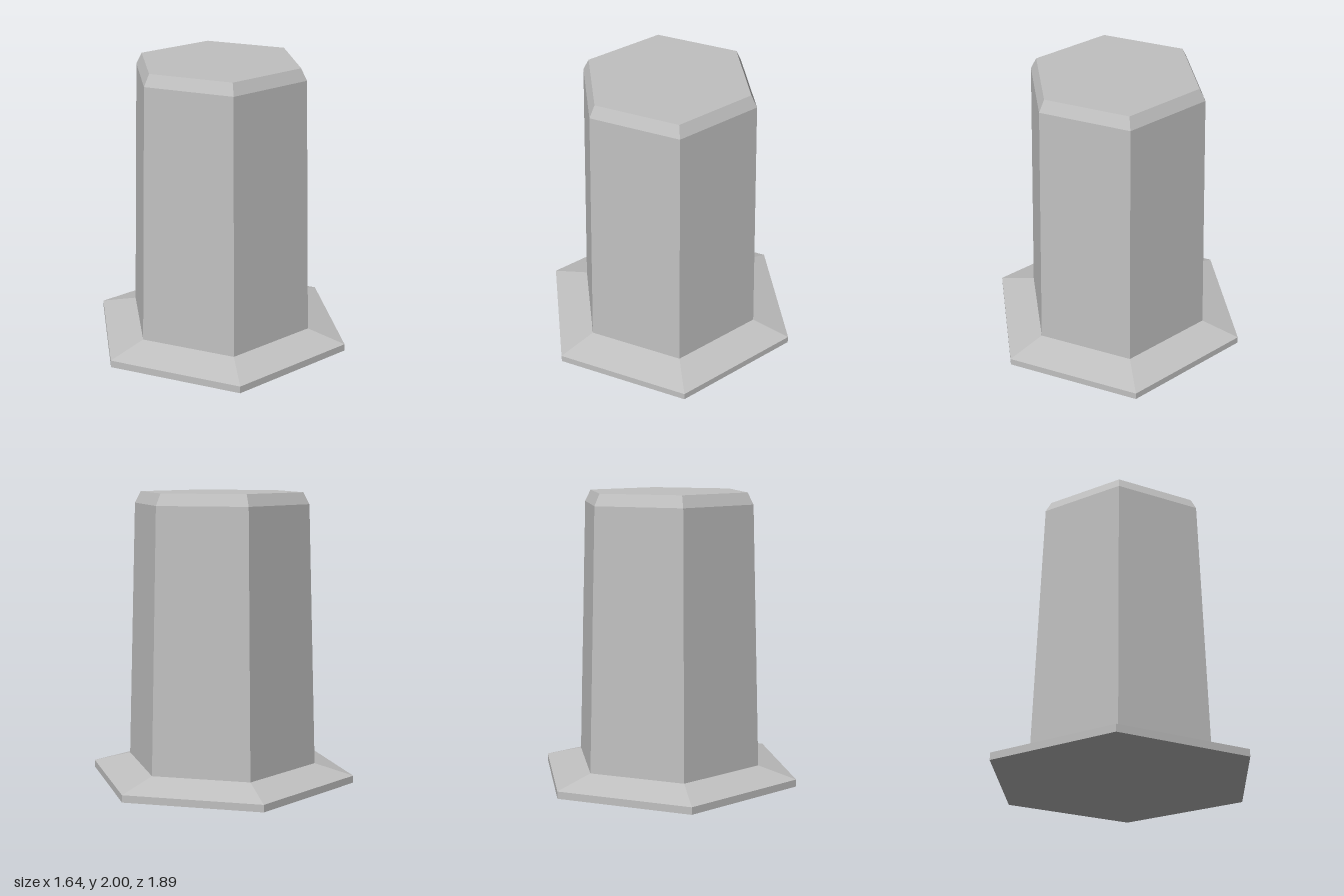
import * as THREE from 'three';

export function createModel() {
  const group = new THREE.Group();
  const grey = new THREE.MeshStandardMaterial({ color: 0xc0c0c0, flatShading: true });
  grey.name = 'light grey';

  // Six-sided solid turned from [radius, height] points, listed bottom to top
  const hexPart = (name, profile) => {
    const points = profile.map(([r, y]) => new THREE.Vector2(r, y));
    const mesh = new THREE.Mesh(new THREE.LatheGeometry(points, 6), grey);
    mesh.name = name;
    group.add(mesh);
  };

  // Flat-bottomed flange with a sloping upper face
  hexPart('baseFlange', [[0, 0], [0.944, 0], [0.944, 0.05], [0.673, 0.123]]);
  // Tapered column
  hexPart('column', [[0.673, 0.123], [0.616, 1.92]]);
  // Chamfered cap closing the top
  hexPart('chamferedTop', [[0.616, 1.92], [0.574, 2], [0, 2]]);

  return group;
}
